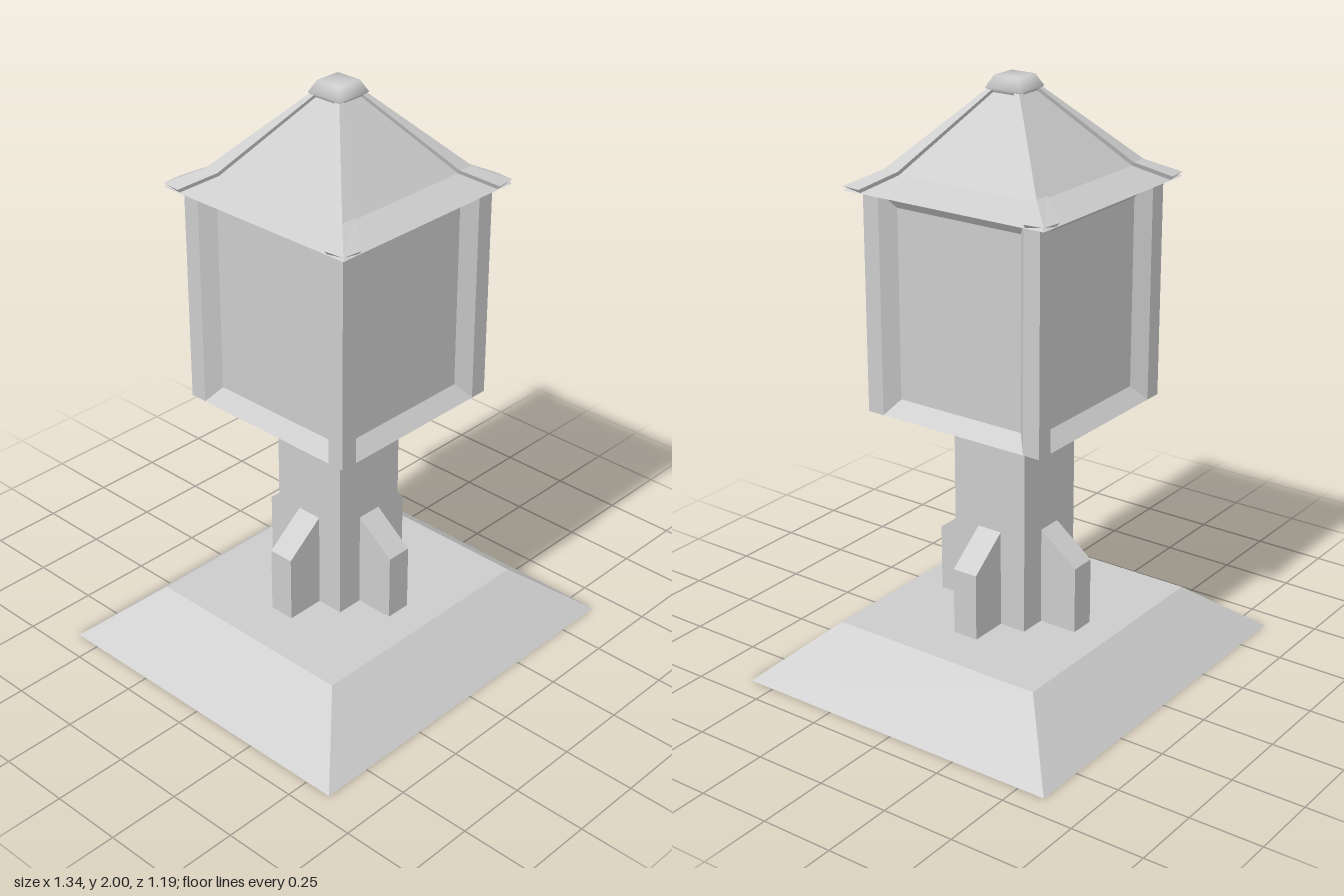
import * as THREE from 'three';
import { mergeVertices } from 'three/addons/utils/BufferGeometryUtils.js';

const material = new THREE.MeshStandardMaterial({ color: 0xcccccc, flatShading: true });
const thinMaterial = new THREE.MeshStandardMaterial({ color: 0xcccccc, flatShading: true, side: THREE.DoubleSide });
const smoothMaterial = new THREE.MeshStandardMaterial({ color: 0xcccccc });

// Joins a sequence of equal-length rings of points, with optional end caps.
function skin(rings, capStart, capEnd) {
  const pos = [];
  const tri = (a, b, c) => {
    const p = [a, b, c].map((v) => new THREE.Vector3(...v));
    if (new THREE.Triangle(...p).getArea() > 1e-7) pos.push(...a, ...b, ...c);
  };
  const n = rings[0].length;
  for (let k = 0; k + 1 < rings.length; k++) {
    const a = rings[k], b = rings[k + 1];
    for (let i = 0; i < n; i++) {
      const j = (i + 1) % n;
      tri(a[i], a[j], b[j]);
      tri(a[i], b[j], b[i]);
    }
  }
  const first = rings[0], last = rings[rings.length - 1];
  for (let i = 1; i + 1 < n; i++) {
    if (capStart) tri(first[0], first[i + 1], first[i]);
    if (capEnd) tri(last[0], last[i], last[i + 1]);
  }
  const g = new THREE.BufferGeometry();
  g.setAttribute('position', new THREE.Float32BufferAttribute(pos, 3));
  g.computeVertexNormals();
  return g;
}

// Horizontal rectangle ring with half sizes x and z at height y.
const level = (y, x, z = x) => [[x, y, z], [x, y, -z], [-x, y, -z], [-x, y, z]];

// Upright rectangle ring facing +z.
const upright = (x, y0, y1, z) => [[-x, y0, z], [x, y0, z], [x, y1, z], [-x, y1, z]];

function add(parent, name, geometry, mat = material) {
  const mesh = new THREE.Mesh(geometry, mat);
  mesh.name = name;
  parent.add(mesh);
  return mesh;
}

// Four copies of a part, turned around the vertical axis.
function addFourfold(parent, name, geometry) {
  const set = new THREE.Group();
  set.name = name + 's';
  for (let i = 0; i < 4; i++) add(set, name, geometry).rotation.y = (i * Math.PI) / 2;
  parent.add(set);
}

export function createModel() {
  const model = new THREE.Group();
  model.name = 'stoneLantern';

  // Sloped hollow base, open underneath
  add(model, 'base', skin([level(0, 0.67, 0.595), level(0.185, 0.44, 0.39)], false, true), thinMaterial);

  // Square post
  const post = new THREE.BoxGeometry(0.28, 0.74, 0.28);
  post.translate(0, 0.55, 0);
  add(model, 'post', post);

  // Buttresses with sloped tops
  const profile = new THREE.Shape([[0.13, 0.18], [0.275, 0.18], [0.275, 0.415], [0.14, 0.52], [0.13, 0.52]]
    .map(([x, y]) => new THREE.Vector2(x, y)));
  const buttress = new THREE.ExtrudeGeometry(profile, { depth: 0.09, bevelEnabled: false });
  buttress.translate(0, 0, -0.045);
  addFourfold(model, 'buttress', buttress);

  // Lantern box: four recessed sides with corner posts, closed above and below
  const side = skin([
    upright(0.335, 0.92, 1.66, 0.335),
    upright(0.275, 0.92, 1.66, 0.335),
    upright(0.235, 0.97, 1.605, 0.292),
  ], false, true);
  addFourfold(model, 'lanternSide', side);
  add(model, 'lanternFloor', skin([level(0.92, 0.335)], true, false));
  add(model, 'lanternCeiling', skin([level(1.66, 0.335)], false, true));

  // Flared hipped roof
  add(model, 'roof', skin([level(1.657, 0.378), level(1.706, 0.28), level(1.948, 0.055)], true, true));

  // Raised ridges along the roof corners: reach, height, width, corner inset
  const ridge = skin([
    [0.385, 1.67, 0.075, 0.007],
    [0.288, 1.718, 0.055, 0],
    [0.062, 1.957, 0.02, 0],
  ].map(([r, y, w, inset]) => [
    [r - inset, y, r - inset],
    [r, y, r - w],
    [r - 0.01, y - 0.012, r - w],
    [r - w, y - 0.013, r - w],
    [r - w, y - 0.012, r - 0.01],
    [r - w, y, r],
  ]), true, true);
  addFourfold(model, 'roofRidge', ridge);

  // Softly shaded cap
  let cap = skin([level(1.945, 0.05), level(1.962, 0.065), level(2, 0.045)], true, true);
  cap.deleteAttribute('normal');
  cap = mergeVertices(cap);
  cap.computeVertexNormals();
  add(model, 'roofCap', cap, smoothMaterial);

  return model;
}
